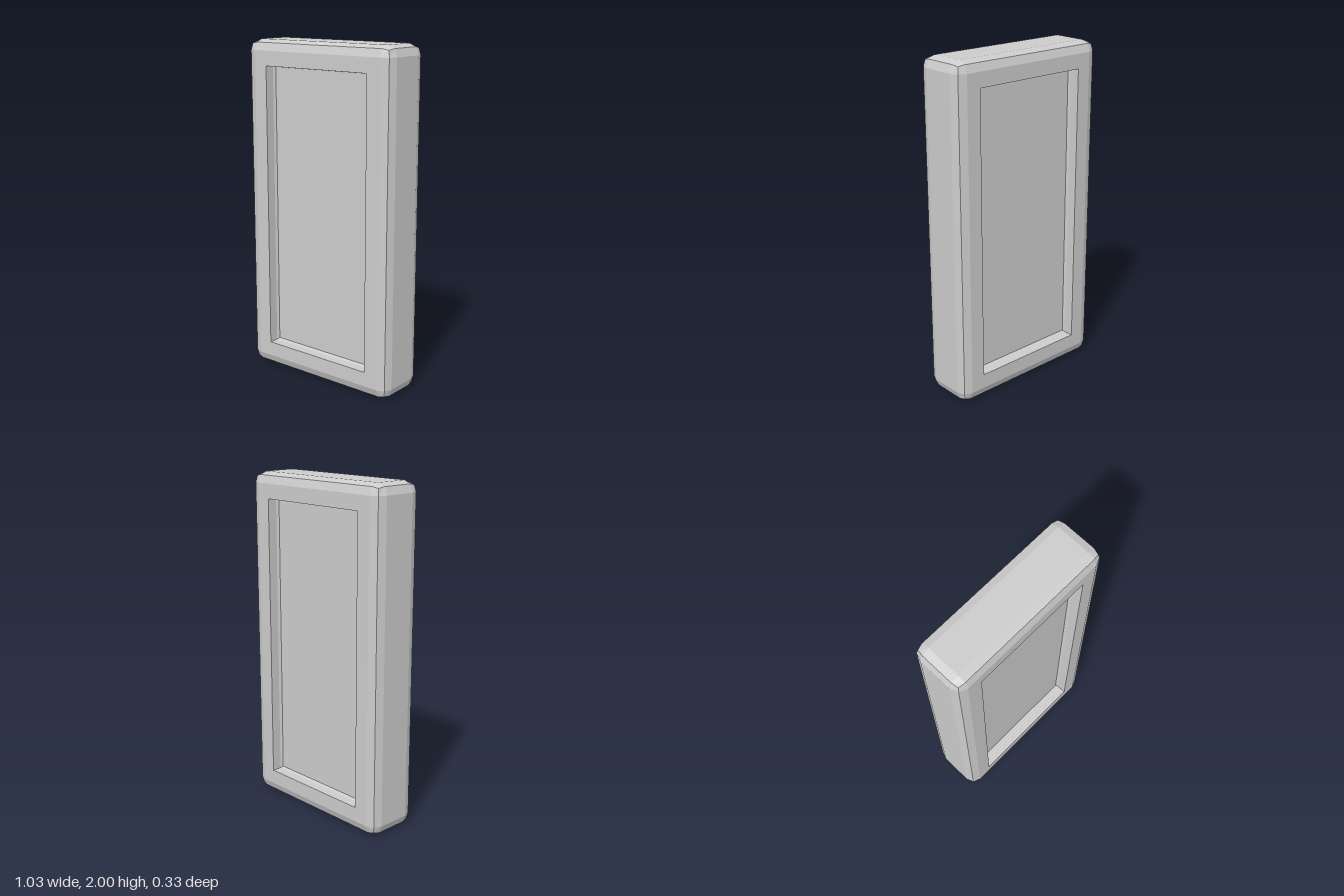
import * as THREE from 'three';

// Flat core of the slab (half sizes) and the radius of its two-step edge
const HX = 0.452, HY = 0.937, HZ = 0.1, R = 0.063;

// Rectangular loop, counter-clockwise from +z, three points at each corner:
// side = reach of the straight sides, diag = reach of the corner point
function loop(hx, hy, z, side = 0, diag = 0, diagZ = z) {
  const points = [];
  for (const [sx, sy] of [[1, 1], [-1, 1], [-1, -1], [1, -1]]) {
    const corner = [
      new THREE.Vector3(sx * (hx + side), sy * hy, z),
      new THREE.Vector3(sx * (hx + diag), sy * (hy + diag), diagZ),
      new THREE.Vector3(sx * hx, sy * (hy + side), z),
    ];
    if (sx * sy < 0) corner.reverse();
    points.push(...corner);
  }
  return points;
}

// Skin the loops, dropping the collapsed triangles at square corners
function skin(loops) {
  const positions = [];
  const triangle = (a, b, c) => {
    if (a.equals(b) || b.equals(c) || c.equals(a)) return;
    for (const p of [a, b, c]) positions.push(p.x, p.y, p.z);
  };
  for (let i = 0; i < loops.length - 1; i++) {
    const inner = loops[i], outer = loops[i + 1];
    for (let j = 0; j < inner.length; j++) {
      const k = (j + 1) % inner.length;
      triangle(inner[j], outer[j], outer[k]);
      triangle(inner[j], outer[k], inner[k]);
    }
  }
  const geometry = new THREE.BufferGeometry();
  geometry.setAttribute('position', new THREE.Float32BufferAttribute(positions, 3));
  geometry.computeVertexNormals();
  return geometry;
}

export function createModel() {
  const group = new THREE.Group();
  group.name = 'recessedSlab';
  const material = new THREE.MeshStandardMaterial({ color: 0xcccccc, flatShading: true });

  // From the middle of the recessed panel out to the side of the slab
  const front = [
    loop(0, 0, 0.09),                                        // panel centre
    loop(0.355, 0.841, 0.09),                                // panel edge
    loop(0.364, 0.85, 0.105),                                // small bevel
    loop(0.364, 0.85, HZ + R),                               // recess rim
    loop(HX, HY, HZ + R),                                    // frame face
    loop(HX, HY, HZ + R * 0.72, R * 0.72, R * 0.6, HZ + R * 0.6), // edge ridge
    loop(HX, HY, HZ, R, R * 0.72),                           // side wall
  ];

  // The back repeats the front
  const back = front.map(points => points.map(p => new THREE.Vector3(p.x, p.y, -p.z))).reverse();

  const body = new THREE.Mesh(skin([...front, ...back]), material);
  body.name = 'slabBody';
  body.position.y = 1;
  group.add(body);
  return group;
}
